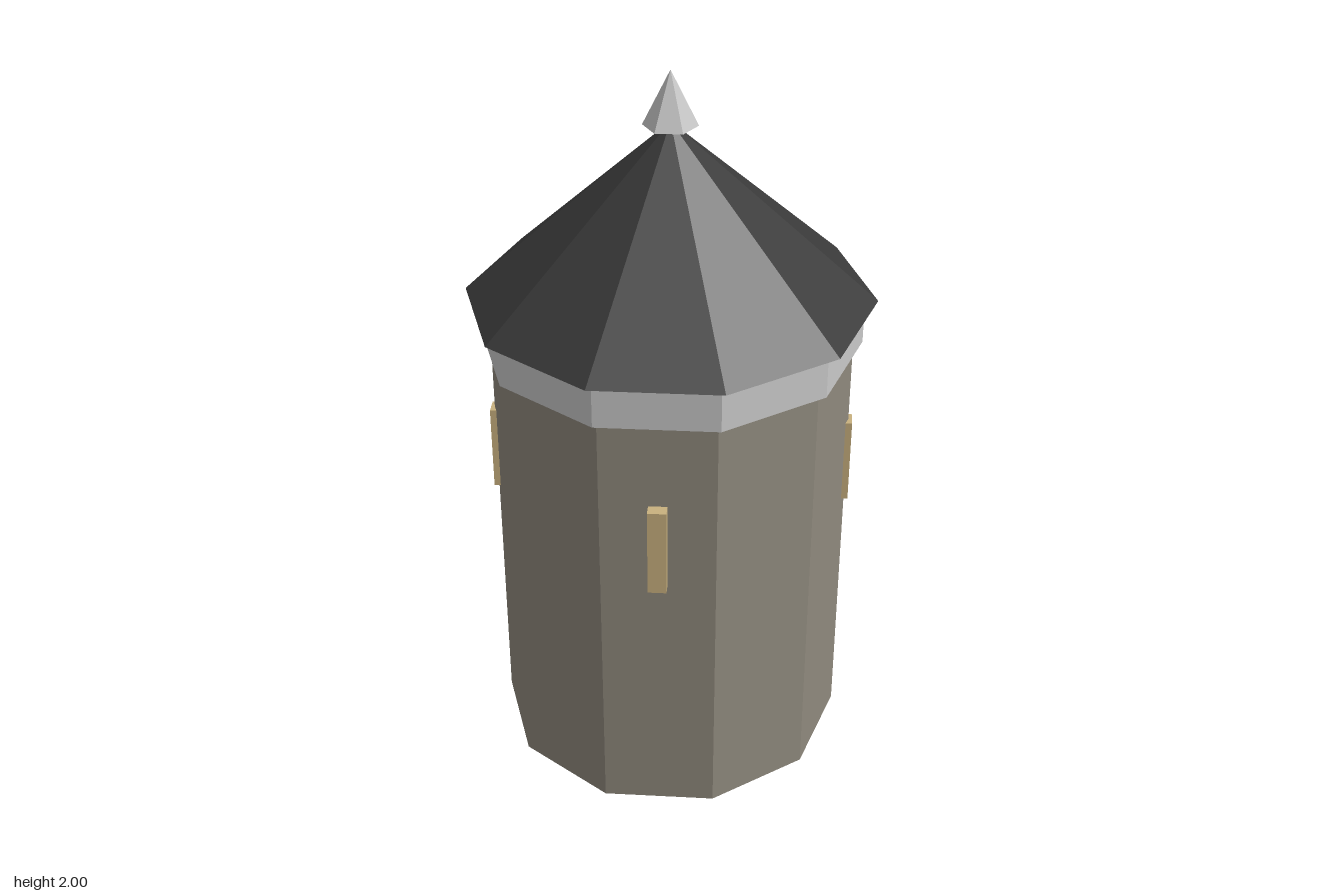
import * as THREE from 'three';

const material = (name, color) => {
  const m = new THREE.MeshStandardMaterial({ color, flatShading: true });
  m.name = name;
  return m;
};

export function createModel() {
  const stone = material('warm grey stone', 0x8f897d);
  const trim = material('pale grey trim', 0xc8c8c8);
  const slate = material('dark slate', 0x3a3a3a);
  const glow = material('tan window', 0xc9b17f);

  const model = new THREE.Group();
  model.name = 'tower';

  // Upright prism or cone, turned so that corners lie on the x axis
  const prism = (name, mat, rTop, rBottom, y0, y1, sides) => {
    const geometry = new THREE.CylinderGeometry(rTop, rBottom, y1 - y0, sides);
    geometry.rotateY(Math.PI / sides);
    const mesh = new THREE.Mesh(geometry, mat);
    mesh.name = name;
    mesh.position.y = (y0 + y1) / 2;
    model.add(mesh);
  };

  prism('towerBody', stone, 0.497, 0.497, 0, 1.25, 10);
  prism('corniceBand', trim, 0.522, 0.522, 1.245, 1.37, 10);
  prism('roof', slate, 0, 0.557, 1.37, 1.863, 10);
  prism('finial', trim, 0, 0.073, 1.853, 2, 6);

  // Narrow windows on the four sides
  const slit = new THREE.BoxGeometry(0.05, 0.25, 0.05);
  ['frontWindow', 'leftWindow', 'backWindow', 'rightWindow'].forEach((name, i) => {
    const angle = (i * Math.PI) / 2;
    const win = new THREE.Mesh(slit, glow);
    win.name = name;
    win.position.set(Math.sin(angle) * 0.482, 0.875, Math.cos(angle) * 0.482);
    win.rotation.y = angle;
    model.add(win);
  });

  return model;
}
